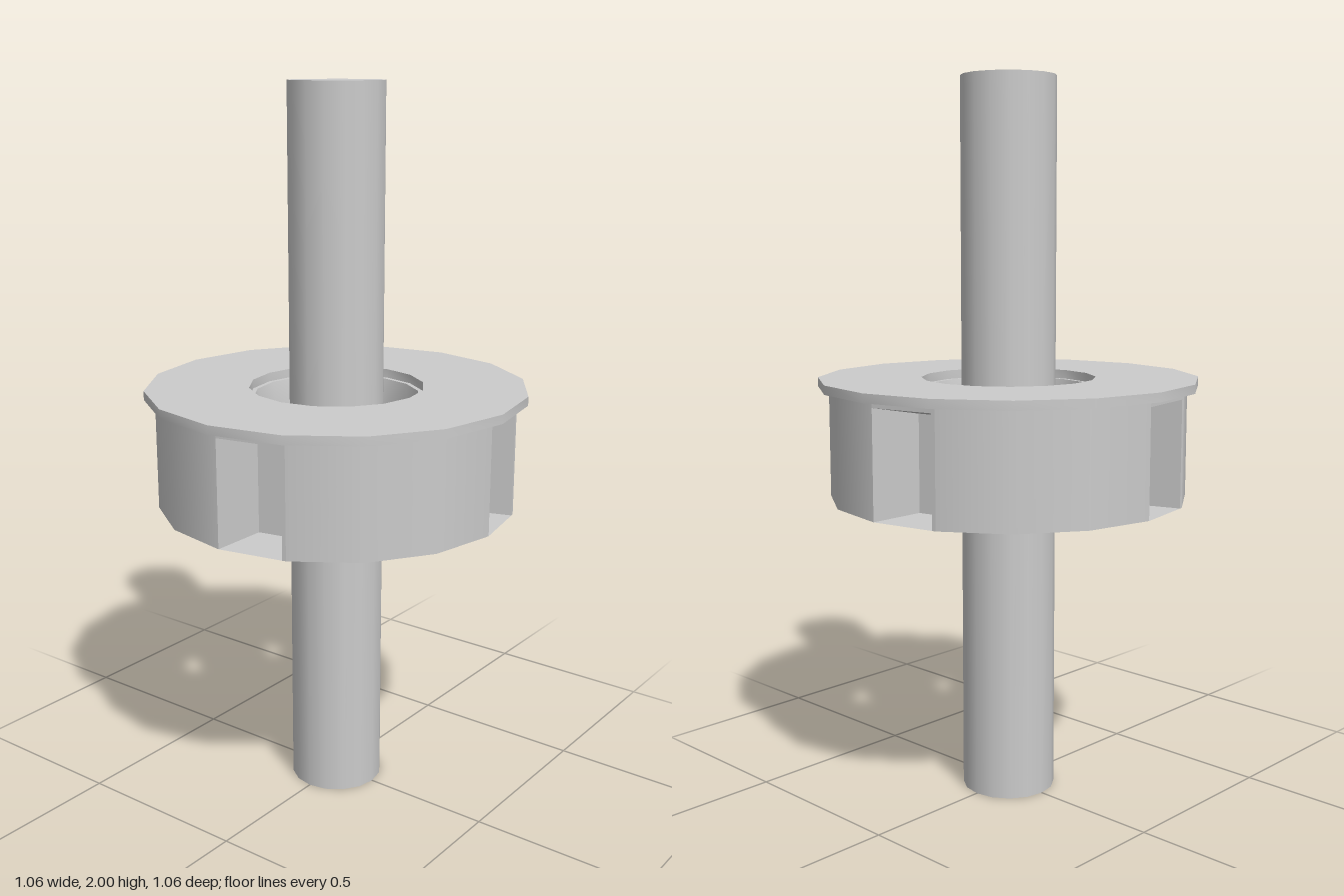
import * as THREE from 'three';
import { toCreasedNormals } from 'three/addons/utils/BufferGeometryUtils.js';

const SIDES = 16;
const BOTTOM = 0.85, TOP = 1.16, RADIUS = 0.5;
const material = new THREE.MeshStandardMaterial({ color: 0xcccccc });

function mesh(name, geometry) {
  const m = new THREE.Mesh(geometry, material);
  m.name = name;
  return m;
}

// Revolved profile of [radius, height] pairs, smooth around and sharp at corners
function turned(profile) {
  const points = profile.map(([r, y]) => new THREE.Vector2(r, y));
  return toCreasedNormals(new THREE.LatheGeometry(points, SIDES), 0.6);
}

// Flat four-cornered faces, corners counter-clockwise seen from the front
function quads(list) {
  const positions = list.flatMap(([a, b, c, d]) => [a, b, c, a, c, d].flat());
  const geometry = new THREE.BufferGeometry();
  geometry.setAttribute('position', new THREE.Float32BufferAttribute(positions, 3));
  geometry.computeVertexNormals();
  return geometry;
}

// One wall facet with a tapering pocket; its frame closes the facet
function pocketGeometry() {
  const edge = Math.PI * 2 / SIDES;
  const at = ([x, z], y) => [x, y, z];
  const c = [RADIUS * Math.sin(edge), RADIUS * Math.cos(edge)];
  const a = [0, RADIUS];
  const b = [c[0] * 0.945, RADIUS + (c[1] - RADIUS) * 0.945];
  const p = [0, 0.34], q = [0.132, 0.314];
  const outerTop = 1.145, innerTop = 1.115;
  return quads([
    [at(p, BOTTOM), at(q, BOTTOM), at(q, innerTop), at(p, innerTop)],     // back
    [at(p, innerTop), at(q, innerTop), at(b, outerTop), at(a, outerTop)], // ceiling
    [at(a, BOTTOM), at(b, BOTTOM), at(q, BOTTOM), at(p, BOTTOM)],         // floor
    [at(a, BOTTOM), at(p, BOTTOM), at(p, innerTop), at(a, outerTop)],     // left cheek
    [at(q, BOTTOM), at(b, BOTTOM), at(b, outerTop), at(q, innerTop)],     // right cheek
    [at(a, outerTop), at(c, outerTop), at(c, TOP), at(a, TOP)],           // lintel
    [at(b, BOTTOM), at(c, BOTTOM), at(c, outerTop), at(b, outerTop)],     // jamb
  ]);
}

export function createModel() {
  const model = new THREE.Group();
  model.name = 'shaftWithCollar';

  // Central shaft
  const shaft = mesh('shaft', new THREE.CylinderGeometry(0.131, 0.131, 2, SIDES));
  shaft.position.y = 1;
  model.add(shaft);

  // Collar: end faces and waisted bore
  const collar = new THREE.Group();
  collar.name = 'collar';
  collar.add(mesh('collarBore', turned([
    [RADIUS, TOP], [0.23, TOP], [0.2, 1.005], [0.23, BOTTOM], [RADIUS, BOTTOM],
  ])));

  // Four quarters, each one pocket facet and three plain facets
  const step = Math.PI * 2 / SIDES;
  const wall = new THREE.CylinderGeometry(
    RADIUS, RADIUS, TOP - BOTTOM, 3, 1, true, step, step * 3);
  wall.translate(0, (TOP + BOTTOM) / 2, 0);
  const pocket = pocketGeometry();
  for (let i = 0; i < 4; i++) {
    const quarter = new THREE.Group();
    quarter.name = 'collarQuarter';
    quarter.add(mesh('collarWall', wall), mesh('pocket', pocket));
    quarter.rotation.y = i * Math.PI / 2;
    collar.add(quarter);
  }
  model.add(collar);

  // Thin flange plate on top of the collar
  model.add(mesh('flange', turned([
    [0.243, TOP], [0.53, TOP], [0.53, 1.185], [0.243, 1.185], [0.243, TOP],
  ])));

  return model;
}
